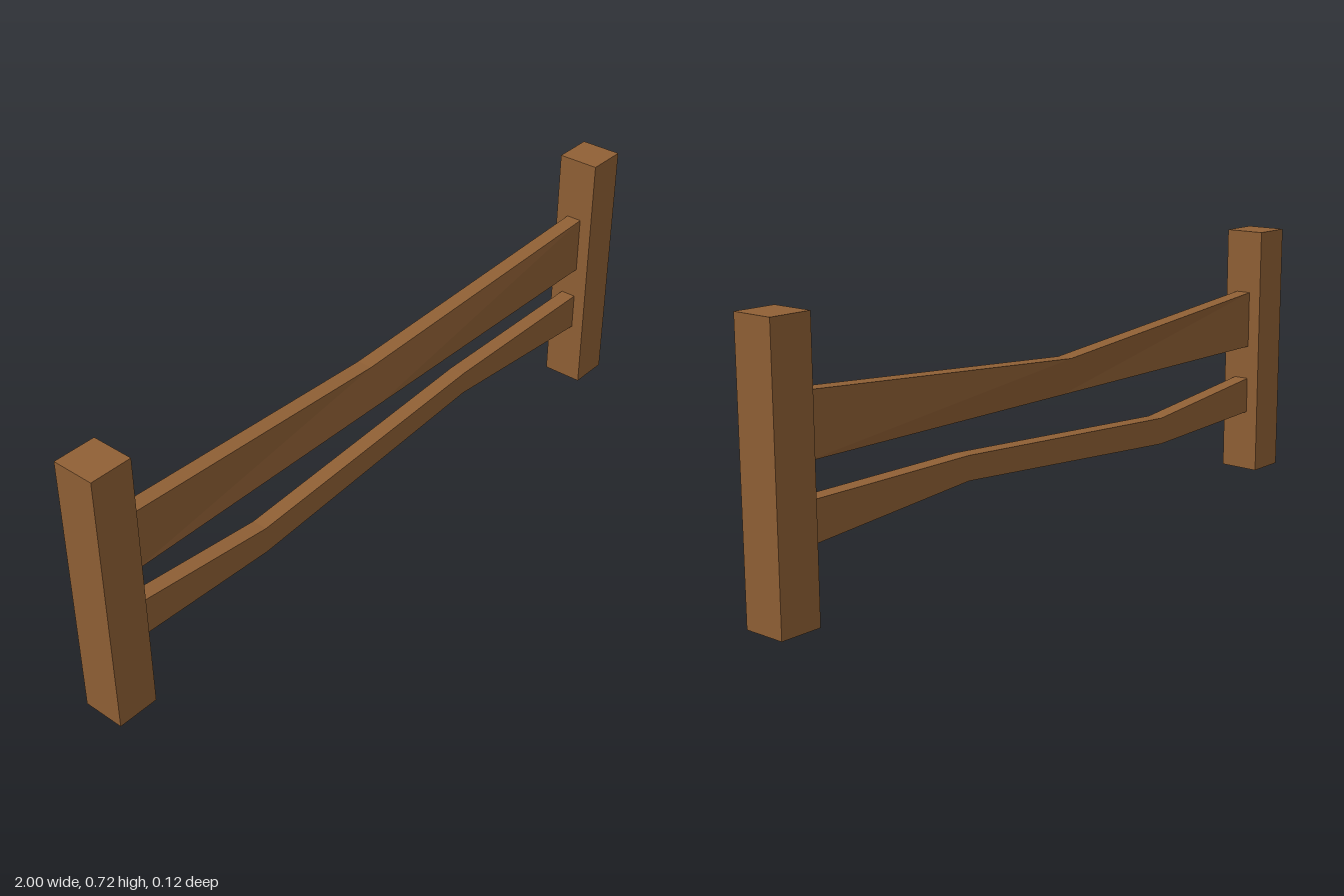
import * as THREE from 'three';

const DEPTH = 0.022; // half thickness of a rail

// Rail lofted through sections [x, bottom, top, backward shift of the top edge]
function railGeometry(sections) {
  const rings = sections.map(([x, bottom, top, shift = 0]) => [
    [x, bottom, DEPTH],
    [x, top, DEPTH - shift],
    [x, top, -DEPTH - shift],
    [x, bottom, -DEPTH],
  ]);
  const positions = [];
  const quad = (a, b, c, d) => positions.push(...a, ...b, ...c, ...a, ...c, ...d);
  for (let i = 0; i < rings.length - 1; i++) {
    for (let k = 0; k < 4; k++) {
      const n = (k + 1) % 4;
      quad(rings[i][k], rings[i + 1][k], rings[i + 1][n], rings[i][n]);
    }
  }
  quad(...rings[0]);
  quad(...[...rings[rings.length - 1]].reverse());
  const geometry = new THREE.BufferGeometry();
  geometry.setAttribute('position', new THREE.Float32BufferAttribute(positions, 3));
  geometry.computeVertexNormals();
  return geometry;
}

export function createModel() {
  const model = new THREE.Group();
  model.name = 'fence';
  const wood = new THREE.MeshStandardMaterial({ color: 0x906035, flatShading: true });
  wood.name = 'brown wood';

  const add = (name, geometry) => {
    const mesh = new THREE.Mesh(geometry, wood);
    mesh.name = name;
    model.add(mesh);
    return mesh;
  };

  // Square posts at both ends
  const height = 0.723;
  for (const [name, side] of [['leftPost', 1], ['rightPost', -1]]) {
    add(name, new THREE.BoxGeometry(0.115, height, 0.117)).position.set(side * 0.9425, height / 2, 0);
  }

  // Upper rail: straight below, worn down and leaning back in the middle
  add('upperRail', railGeometry([
    [-0.885, 0.378, 0.541],
    [-0.01, 0.378, 0.479, 0.03],
    [0.885, 0.378, 0.541],
  ]));

  // Lower rail: crooked, thinner along the middle
  add('lowerRail', railGeometry([
    [-0.885, 0.177, 0.28],
    [-0.45, 0.161, 0.236],
    [0.35, 0.222, 0.287],
    [0.885, 0.181, 0.287],
  ]));

  return model;
}
